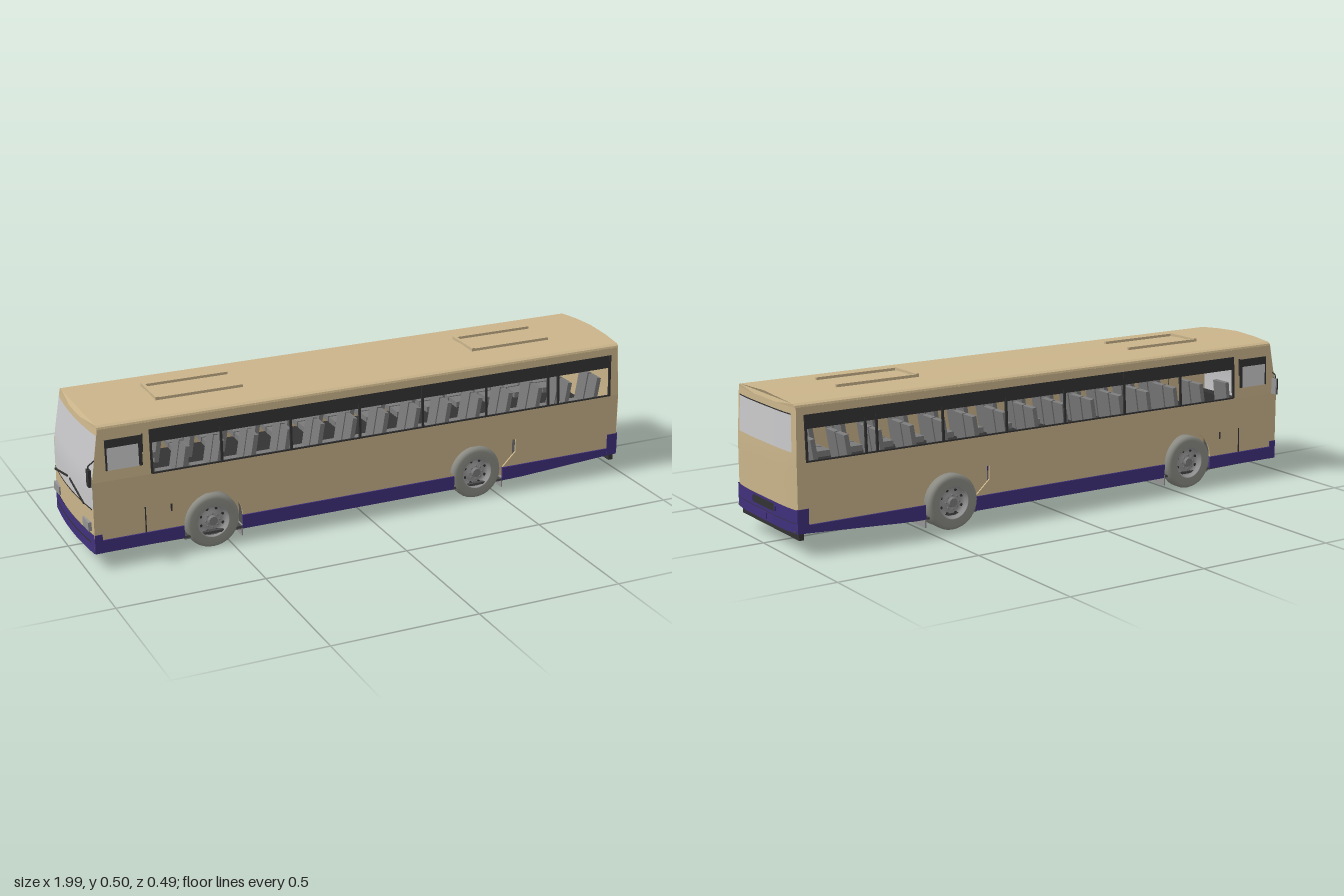
import * as THREE from 'three';

const mat = (name, color) => {
  const m = new THREE.MeshStandardMaterial({ color, side: THREE.DoubleSide });
  m.name = name;
  return m;
};

export function createModel() {
  const tan = mat('tan paint', 0xcab48a);
  const purple = mat('purple paint', 0x40307c);
  const dark = mat('dark trim', 0x333333);
  const floorGrey = mat('underside grey', 0x484848);
  const glass = mat('pale glass', 0xc8c8ca);
  const tyreGrey = mat('tyre grey', 0x8a8a83);
  const rimGrey = mat('rim grey', 0x959595);
  const seatGrey = mat('seat grey', 0x7a7a7a);

  const bus = new THREE.Group();
  bus.name = 'bus';
  const body = new THREE.Group();
  body.name = 'body';
  body.position.z = 0.004;
  bus.add(body);

  const add = (name, geo, m, parent = body, x = 0, y = 0, z = 0) => {
    const mesh = new THREE.Mesh(geo, m);
    mesh.name = name;
    mesh.position.set(x, y, z);
    parent.add(mesh);
    return mesh;
  };
  const box = (name, m, x0, x1, y0, y1, z0, z1, parent = body) => add(name,
    new THREE.BoxGeometry(x1 - x0, y1 - y0, z1 - z0), m, parent, (x0 + x1) / 2, (y0 + y1) / 2, (z0 + z1) / 2);
  const poly = (pts) => new THREE.Shape(pts.map(([x, y]) => new THREE.Vector2(x, y)));
  const rect = (x0, x1, y0, y1) => poly([[x0, y0], [x1, y0], [x1, y1], [x0, y1]]);

  // Body rules: sides lean inwards above the sill, the nose leans back and bows in plan
  const halfWidth = (y) => 0.209 - Math.max(0, y - 0.3) * 0.055;
  const lean = (y) => 0.03 * Math.max(0, y - 0.3) / 0.19;
  const bow = (z) => 0.014 * (z / 0.209) ** 2;
  const endX = (dir, y, z) => dir < 0 ? -0.985 + bow(z) + lean(y) : 0.988 - 0.01 * (z / 0.209) ** 4 - lean(y) * 0.25;
  const noseX = -0.971, tailX = 0.977;

  // Side panel: a flat outline bent to the side of the body
  const sidePanel = (name, shape, m, s, thick = 0.006, out = 0) => {
    const geo = new THREE.ExtrudeGeometry(shape, { depth: thick, bevelEnabled: false, curveSegments: 20 });
    const p = geo.attributes.position;
    for (let i = 0; i < p.count; i++) {
      const x = p.getX(i), y = p.getY(i);
      if (x < -0.96) p.setX(i, x + lean(y));
      if (x > 0.97) p.setX(i, x - lean(y) * 0.25);
      p.setZ(i, p.getZ(i) + s * (halfWidth(y) + out) - (s > 0 ? thick : 0));
    }
    geo.computeVertexNormals();
    return add(name, geo, m);
  };

  // End panel: a sheet following the bowed front or rear
  const endPanel = (name, dir, y0, y1, m, frac = 1, lift = 0) => {
    const geo = new THREE.PlaneGeometry(2, y1 - y0, 16, 6);
    const p = geo.attributes.position;
    for (let i = 0; i < p.count; i++) {
      const y = p.getY(i) + (y0 + y1) / 2;
      const z = -dir * p.getX(i) * halfWidth(y) * frac;
      p.setXYZ(i, endX(dir, y, z) + dir * lift, y, z);
    }
    geo.computeVertexNormals();
    return add(name, geo, m);
  };

  const wheelX = [-0.565, 0.415];
  const pillars = [-0.77, -0.53, -0.285, -0.035, 0.2, 0.445, 0.69, 0.73, 0.94];

  for (const s of [1, -1]) {
    // Lower wall with a round front arch and an angular rear arch
    const lower = new THREE.Shape();
    lower.moveTo(noseX, 0.1).lineTo(-0.667, 0.1);
    lower.absarc(-0.565, 0.1, 0.102, Math.PI, 0, true);
    lower.lineTo(0.325, 0.1).lineTo(0.27, 0.15).lineTo(0.27, 0.197).lineTo(0.565, 0.197);
    lower.lineTo(0.565, 0.15).lineTo(0.515, 0.1);
    lower.lineTo(tailX, 0.1).lineTo(tailX, 0.3).lineTo(noseX, 0.3);
    sidePanel('lowerWall', lower, tan, s);

    // Upper wall with one long window opening
    const upper = rect(noseX, tailX, 0.3, 0.475);
    upper.holes.push(rect(-0.77, 0.945, 0.302, 0.45));
    sidePanel('upperWall', upper, tan, s);

    // Purple skirt in three runs
    sidePanel('skirtFront', rect(noseX, -0.667, 0.055, 0.098), purple, s, 0.006, 0.001);
    sidePanel('skirtMiddle', rect(-0.463, 0.325, 0.05, 0.098), purple, s, 0.006, 0.001);
    sidePanel('skirtRear', poly([[0.515, 0.05], [0.6, 0.052], [0.96, 0.073], [0.96, 0.098], [0.515, 0.098]]),
      purple, s, 0.006, 0.001);
    sidePanel('rearBumperEnd', rect(0.94, 0.98, 0.073, 0.152), purple, s, 0.006, 0.002);
    sidePanel('frontBumperEnd', rect(noseX, -0.945, 0.055, 0.12), purple, s, 0.006, 0.002);

    // Window frames, dark top lights and pillars
    sidePanel('topLights', rect(-0.77, 0.945, 0.405, 0.45), dark, s, 0.004, 0.001);
    sidePanel('windowSill', rect(-0.77, 0.945, 0.299, 0.304), dark, s, 0.005, 0.001);
    for (const x of pillars) sidePanel('windowPillar', rect(x - 0.004, x + 0.004, 0.302, 0.45), dark, s, 0.006, 0.002);

    // Cab door with its window and seams
    sidePanel('cabWindow', rect(-0.917, -0.812, 0.335, 0.41), glass, s, 0.004, 0.002);
    sidePanel('cabWindowTop', rect(-0.917, -0.8, 0.41, 0.437), dark, s, 0.004, 0.002);
    for (const [x, w, y0, y1] of [[-0.8, 0.004, 0.1, 0.44], [-0.812, 0.012, 0.335, 0.437], [-0.923, 0.007, 0.335, 0.437]])
      sidePanel('doorSeam', rect(x, x + w, y0, y1), dark, s, 0.004, 0.002);
    sidePanel('doorHandle', rect(-0.712, -0.707, 0.16, 0.185), dark, s, 0.004, 0.003);

    // Wheel housings: shallow tan recesses behind the arches, grey wells below
    wheelX.forEach((x, i) => {
      const h = i ? 0.15 : 0.105, back = s * (i ? 0.183 : 0.165), rim = s * 0.204;
      const z0 = Math.min(back, rim), z1 = Math.max(back, rim);
      box('housingRoof', tan, x - h, x + h, 0.197, 0.203, z0, z1);
      box('housingBack', tan, x - h, x + h, 0.055, 0.203, back - 0.002, back + 0.002);
      box('wheelWell', seatGrey, x - 0.1, x + 0.1, 0.044, 0.05, s * 0.15 - 0.05, s * 0.15 + 0.05);
    });
  }

  // Roof: shallow crown, its ends following the nose and tail
  const crown = [[0.1995, 0.474], [0.197, 0.481], [0.187, 0.486], [0.1, 0.4925], [0, 0.497]];
  const section = [...crown, ...crown.slice(0, -1).reverse().map(([z, y]) => [-z, y]), [-0.1, 0.468], [0, 0.465], [0.1, 0.468]];
  const roofGeo = new THREE.ExtrudeGeometry(poly(section), { depth: 1.9, steps: 1, bevelEnabled: false });
  roofGeo.rotateY(Math.PI / 2);
  const rp = roofGeo.attributes.position;
  for (let i = 0; i < rp.count; i++)
    rp.setX(i, endX(rp.getX(i) < 1 ? -1 : 1, rp.getY(i), rp.getZ(i)));
  roofGeo.computeVertexNormals();
  add('roof', roofGeo, tan);

  // Roof hatches: raised rails on three sides
  for (const x of [-0.7, 0.46]) {
    box('hatchFrontRail', tan, x - 0.004, x + 0.007, 0.49, 0.505, -0.073, 0.073);
    for (const s of [-1, 1]) box('hatchSideRail', tan, x, x + 0.3, 0.488, 0.503, s * 0.068 - 0.005, s * 0.068 + 0.005);
  }

  // Front: bumper, lower panel, windscreen, header
  endPanel('frontBumper', -1, 0.055, 0.12, purple, 1, 0.002);
  endPanel('frontPanel', -1, 0.12, 0.21, tan);
  endPanel('windscreen', -1, 0.21, 0.455, glass);
  endPanel('frontHeader', -1, 0.455, 0.475, tan);
  endPanel('windscreenSeal', -1, 0.207, 0.212, dark, 0.98, 0.002);
  endPanel('bumperSlot', -1, 0.088, 0.094, dark, 0.9, 0.004);
  for (const s of [-1, 1]) {
    box('headlight', rimGrey, -0.985, -0.968, 0.13, 0.16, s * 0.16 - 0.03, s * 0.16 + 0.03);
    const wiper = box('wiper', dark, -0.989, -0.985, 0.229, 0.235, s * 0.085 - 0.075, s * 0.085 + 0.075);
    wiper.rotation.x = s * 0.2;
  }

  // Rear: bumper, engine panel, window, header
  endPanel('rearBumper', 1, 0.075, 0.152, purple, 1.005, 0.004);
  endPanel('rearPanel', 1, 0.15, 0.335, tan);
  endPanel('rearWindowSurround', 1, 0.335, 0.475, tan);
  endPanel('rearWindow', 1, 0.333, 0.453, glass, 0.9, 0.002);
  endPanel('rearWindowSeal', 1, 0.451, 0.455, dark, 0.9, 0.003);
  endPanel('rearGrille', 1, 0.12, 0.145, dark, 0.36, 0.006);
  endPanel('bumperLine', 1, 0.108, 0.11, dark, 0.98, 0.006);
  box('plateHolder', purple, 0.985, 0.996, 0.083, 0.104, -0.02, 0.028);
  for (const s of [-1, 1]) box('grilleLamp', purple, 0.985, 0.996, 0.124, 0.14, s * 0.08 - 0.004, s * 0.08 + 0.004);

  // Underside, rising at the tail
  const under = poly([[-0.975, 0.056], [-0.6, 0.05], [0.55, 0.048], [0.985, 0.077], [0.985, 0.082], [0.55, 0.055], [-0.975, 0.06]]);
  add('underside', new THREE.ExtrudeGeometry(under, { depth: 0.41, bevelEnabled: false }), floorGrey, body, 0, 0, -0.205);
  box('tailValance', dark, 0.955, 0.972, 0.05, 0.078, -0.203, 0.203);
  box('cabinFloor', dark, -0.95, 0.965, 0.205, 0.209, -0.2, 0.2);

  // Seats: rows of paired seats facing the nose, leaning back
  for (let i = 0; i < 14; i++) {
    const x = -0.65 + i * 0.119;
    for (const s of [-1, 1]) for (const z of [0.095, 0.158]) {
      add('seatBack', new THREE.BoxGeometry(0.016, 0.15, 0.056), seatGrey, body, x, 0.29, s * z).rotation.z = -0.16;
      add('seatCushion', new THREE.BoxGeometry(0.06, 0.02, 0.056), seatGrey, body, x - 0.035, 0.245, s * z);
    }
  }
  box('dashboard', dark, -0.95, -0.91, 0.209, 0.25, -0.18, 0.18);
  add('driverSeat', new THREE.BoxGeometry(0.015, 0.13, 0.07), seatGrey, body, -0.8, 0.28, -0.11).rotation.z = -0.12;

  // Wheels: lathed tyre, dished rim, hub and bolts, built facing +z
  const lathe = (pts) => new THREE.LatheGeometry(pts.map(([r, h]) => new THREE.Vector2(r, h)), 36).rotateX(Math.PI / 2);
  const tyreGeo = lathe([[0.056, -0.026], [0.08, -0.027], [0.09, -0.023], [0.094, -0.014], [0.094, 0.014],
    [0.09, 0.023], [0.08, 0.027], [0.056, 0.026]]);
  const rimGeo = lathe([[0.057, 0.026], [0.053, 0.026], [0.05, 0.012], [0.036, 0.006], [0.03, 0.014], [0, 0.014]]);
  const hubGeo = new THREE.CylinderGeometry(0.015, 0.018, 0.014, 18).rotateX(Math.PI / 2);
  const boltGeo = new THREE.CylinderGeometry(0.003, 0.003, 0.006, 6).rotateX(Math.PI / 2);
  const holeGeo = new THREE.CylinderGeometry(0.005, 0.005, 0.004, 12).rotateX(Math.PI / 2);
  wheelX.forEach((x, i) => {
    for (const s of [1, -1]) {
      const wheel = new THREE.Group();
      wheel.name = i ? 'rearWheel' : 'frontWheel';
      wheel.position.set(x, 0.094, s > 0 ? 0.186 : -0.19);
      if (s < 0) wheel.rotation.y = Math.PI;
      bus.add(wheel);
      add('tyre', tyreGeo, tyreGrey, wheel);
      add('rim', rimGeo, rimGrey, wheel);
      add('hub', hubGeo, seatGrey, wheel, 0, 0, 0.018);
      for (let k = 0; k < 8; k++) {
        const a = k * Math.PI / 4;
        add('bolt', boltGeo, seatGrey, wheel, 0.024 * Math.cos(a), 0.024 * Math.sin(a), 0.016);
        add('rimHole', holeGeo, dark, wheel, 0.042 * Math.cos(a + 0.39), 0.042 * Math.sin(a + 0.39), 0.008);
      }
      if (i) add('innerTyre', tyreGeo, tyreGrey, wheel, 0, 0, -0.056);
      box('mudflap', rimGrey, x + 0.1, x + 0.105, 0.022, 0.06, s * 0.157 - 0.049, s * 0.157 + 0.049, bus);
    }
    add('axle', new THREE.CylinderGeometry(0.012, 0.012, 0.34, 12).rotateX(Math.PI / 2), dark, bus, x, 0.094, 0);
  });

  // Mirrors on dark arms
  for (const [s, x, m] of [[1, -0.985, dark], [-1, -0.935, rimGrey]]) {
    const z = s * 0.235;
    box('mirror', m, x - 0.002, x + 0.003, 0.303, 0.36, z - 0.012, z + 0.012, bus);
    box('mirrorBack', dark, x - 0.007, x - 0.002, 0.303, 0.36, z - 0.012, z + 0.012, bus);
    const path = new THREE.CatmullRomCurve3([new THREE.Vector3(-0.955, 0.374, s * 0.2),
      new THREE.Vector3((x - 0.955) / 2, 0.374, s * 0.22), new THREE.Vector3(x - 0.003, 0.37, z), new THREE.Vector3(x - 0.003, 0.35, z)]);
    add('mirrorArm', new THREE.TubeGeometry(path, 12, 0.0025, 6), dark, bus);
  }
  return bus;
}
